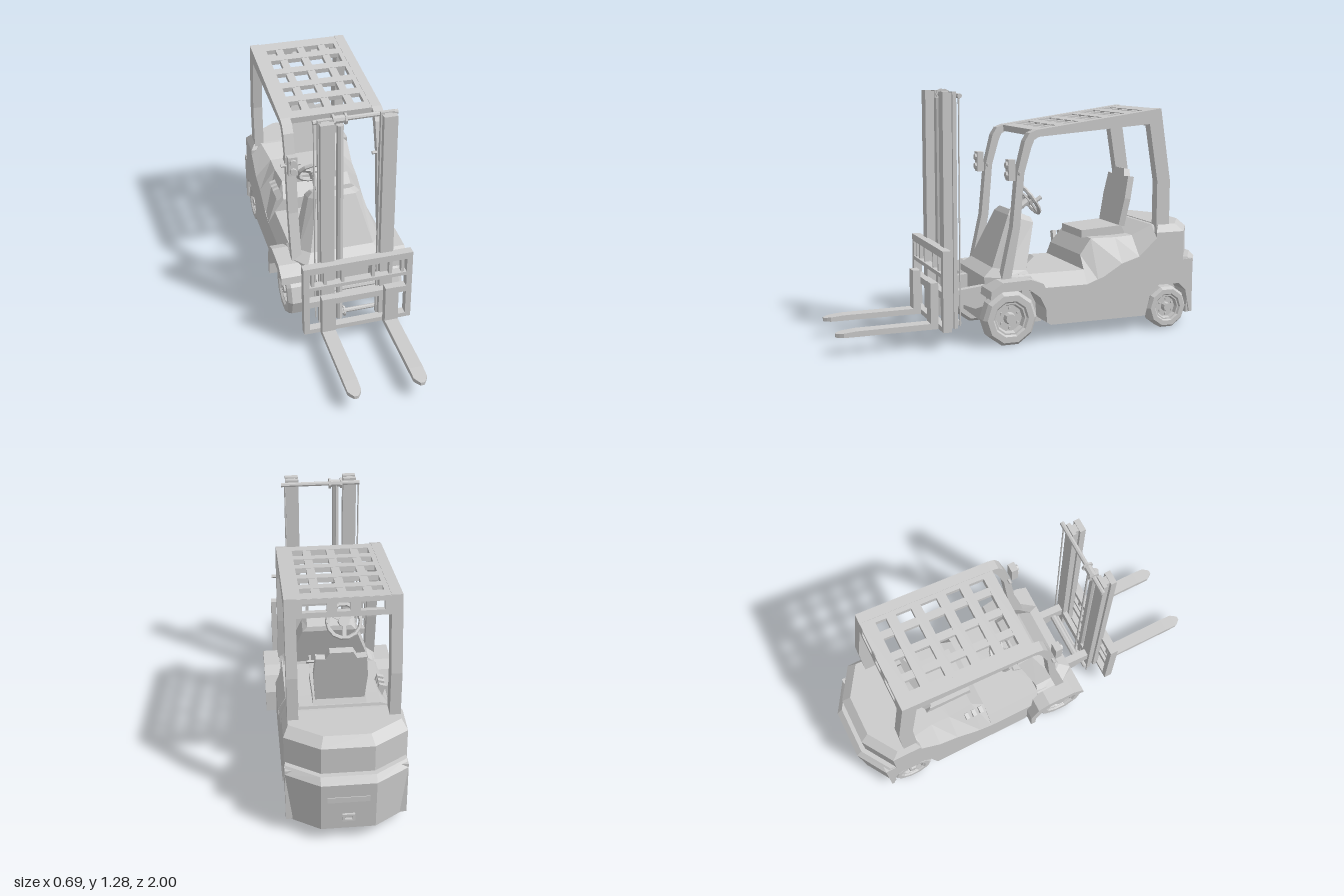
import * as THREE from 'three';

const mat = new THREE.MeshStandardMaterial({ color: 0xcccccc, flatShading: true, side: THREE.DoubleSide });

function add(parent, name, geo, x = 0, y = 0, z = 0, rx = 0, ry = 0, rz = 0) {
  const m = new THREE.Mesh(geo, mat);
  m.name = name;
  m.position.set(x, y, z);
  m.rotation.set(rx, ry, rz);
  parent.add(m);
  return m;
}

// Box given by its limits on each axis
function span(parent, name, x0, x1, y0, y1, z0, z1) {
  return add(parent, name, new THREE.BoxGeometry(x1 - x0, y1 - y0, z1 - z0), (x0 + x1) / 2, (y0 + y1) / 2, (z0 + z1) / 2);
}

// Side profile of [z, y] points extruded from x0 to x1
function sideExtrude(pts, x0, x1) {
  const shape = new THREE.Shape(pts.map(p => new THREE.Vector2(p[0], p[1])));
  const g = new THREE.ExtrudeGeometry(shape, { depth: x1 - x0, bevelEnabled: false });
  return g.rotateY(-Math.PI / 2).translate(x1, 0, 0);
}

// Skin over rings of equal point count, capped at both ends
function loft(rings) {
  const v = [], n = rings[0].length;
  const tri = (...p) => p.forEach(q => v.push(...q));
  for (let i = 0; i < rings.length - 1; i++) {
    for (let j = 0; j < n; j++) {
      const k = (j + 1) % n, a = rings[i], b = rings[i + 1];
      tri(a[j], a[k], b[k]);
      tri(a[j], b[k], b[j]);
    }
  }
  const first = rings[0], last = rings[rings.length - 1];
  for (let j = 1; j < n - 1; j++) {
    tri(first[0], first[j + 1], first[j]);
    tri(last[0], last[j], last[j + 1]);
  }
  const g = new THREE.BufferGeometry();
  g.setAttribute('position', new THREE.Float32BufferAttribute(v, 3));
  g.computeVertexNormals();
  return g;
}

function wheel(parent, name, s, x, y, z, r, w) {
  const h = w / 2;
  const profile = [[0, -h * 0.6], [r * 0.6, -h * 0.6], [r * 0.64, -h], [r * 0.88, -h], [r, -h * 0.6], [r, h * 0.6], [r * 0.88, h],
    [r * 0.66, h], [r * 0.6, h * 0.8], [r * 0.54, h * 0.8], [r * 0.48, h * 0.35], [r * 0.22, h * 0.35], [r * 0.18, h * 0.95], [0, h * 0.95]];
  const g = new THREE.Group();
  g.name = name;
  g.position.set(s * x, y, z);
  g.rotation.z = -s * Math.PI / 2;
  parent.add(g);
  add(g, 'tyreAndRim', new THREE.LatheGeometry(profile.map(p => new THREE.Vector2(...p)), 10));
  for (let i = 0; i < 6; i++) {
    const a = i * Math.PI / 3;
    add(g, 'wheelNut', new THREE.CylinderGeometry(r * 0.05, r * 0.05, h * 0.3, 6), Math.cos(a) * r * 0.35, h * 0.45, Math.sin(a) * r * 0.35);
  }
}

function buildBody(g) {
  // Lower hull with rear wheel arches
  const hull = [[-0.04, 0.115], [-0.04, 0.285], [-0.28, 0.285], [-0.5, 0.36], [-0.9, 0.38], [-0.9, 0.09],
    [-0.885, 0.09], [-0.86, 0.21], [-0.82, 0.25], [-0.7, 0.25], [-0.65, 0.21], [-0.62, 0.09], [-0.08, 0.09]];
  add(g, 'lowerHull', sideExtrude(hull, -0.29, 0.29));
  span(g, 'rearAxleCore', -0.17, 0.17, 0.09, 0.3, -0.9, -0.6);
  span(g, 'frontChassis', -0.2, 0.2, 0.09, 0.34, -0.06, 0.23);
  // Deck and engine hood: [z, shoulder y, top half width, top y]
  const stations = [[-0.74, 0.53, 0.25, 0.57], [-0.68, 0.5, 0.23, 0.565], [-0.58, 0.41, 0.2, 0.51], [-0.48, 0.38, 0.2, 0.505],
    [-0.345, 0.3, 0.19, 0.505], [-0.28, 0.285, 0.2, 0.425], [-0.278, 0.285, 0.25, 0.355], [0.08, 0.285, 0.25, 0.355]];
  add(g, 'deckAndHood', loft(stations.map(([z, s, w, t]) =>
    [[0.29, 0.27, z], [0.29, s, z], [w, t, z], [-w, t, z], [-0.29, s, z], [-0.29, 0.27, z]])));
  // Counterweight in two stacked bands: [y, half width, front z, corner z, rear z, rear half width]
  const plan = ([y, w, zf, zc, zr, wr]) =>
    [[w, y, zf], [w, y, zc], [wr, y, zr], [-wr, y, zr], [-w, y, zc], [-w, y, zf]];
  add(g, 'lowerCounterweight', loft([[0.085, 0.28, -0.87, -0.885, -0.98, 0.13], [0.36, 0.29, -0.87, -0.9, -1, 0.13],
    [0.39, 0.285, -0.8, -0.87, -0.97, 0.13]].map(plan)));
  add(g, 'upperCounterweight', loft([[0.3, 0.29, -0.7, -0.84, -0.945, 0.125], [0.53, 0.29, -0.68, -0.84, -0.945, 0.125],
    [0.57, 0.265, -0.7, -0.8, -0.9, 0.11]].map(plan)));
  span(g, 'rearGrip', -0.1, 0.1, 0.255, 0.285, -0.998, -0.97);
  const hitch = new THREE.Shape([[-0.03, -0.02], [0.03, -0.02], [0.03, 0.02], [-0.03, 0.02]].map(p => new THREE.Vector2(...p)));
  hitch.holes.push(new THREE.Path([[-0.018, -0.01], [-0.018, 0.01], [0.018, 0.01], [0.018, -0.01]].map(p => new THREE.Vector2(...p))));
  add(g, 'towHitch', new THREE.ExtrudeGeometry(hitch, { depth: 0.02, bevelEnabled: false }), 0, 0.16, -0.998);
  // Front cowl: [y front, y back, front half width, half width, z front, z back]
  const cowl = [[0.31, 0.31, 0.21, 0.27, 0.25, 0], [0.345, 0.345, 0.2, 0.26, 0.25, 0.02], [0.385, 0.37, 0.17, 0.22, 0.195, 0.03],
    [0.64, 0.6, 0.105, 0.14, 0.085, -0.04], [0.665, 0.625, 0.08, 0.115, 0.065, -0.035]];
  add(g, 'frontCowl', loft(cowl.map(([yf, yb, a, b, zf, zb]) => {
    const zm = zf - (zf - zb) * 0.35, ym = yf - (yf - yb) * 0.35;
    return [[a, yf, zf], [b, ym, zm], [b, yb, zb], [-b, yb, zb], [-b, ym, zm], [-a, yf, zf]];
  })));
  // Front fenders
  const fender = [[-0.06, 0.12], [-0.06, 0.24], [-0.015, 0.32], [0.05, 0.345], [0.2, 0.34], [0.26, 0.3], [0.265, 0.26],
    [0.2, 0.295], [0.06, 0.295], [0, 0.25], [-0.03, 0.19], [-0.035, 0.12]];
  for (const s of [-1, 1]) {
    add(g, 'frontFender', sideExtrude(fender, s > 0 ? 0.19 : -0.345, s > 0 ? 0.345 : -0.19));
    wheel(g, 'frontWheel', s, 0.264, 0.145, 0.145, 0.143, 0.1);
    wheel(g, 'rearWheel', s, 0.235, 0.12, -0.76, 0.115, 0.09);
  }
}

function buildCab(g) {
  // Seat
  add(g, 'seatCushion', sideExtrude([[-0.32, 0.5], [-0.32, 0.54], [-0.55, 0.555], [-0.58, 0.5]], -0.13, 0.13));
  const back = new THREE.Shape([[-0.12, 0], [0.12, 0], [0.13, 0.15], [0.12, 0.27], [0.075, 0.265], [0.055, 0.305], [-0.055, 0.305],
    [-0.075, 0.265], [-0.12, 0.27], [-0.13, 0.15]].map(p => new THREE.Vector2(...p)));
  add(g, 'seatBack', new THREE.ExtrudeGeometry(back, { depth: 0.035, bevelEnabled: false }), 0, 0.545, -0.575, -0.2);
  // Steering wheel facing the seat
  const st = new THREE.Group();
  st.name = 'steeringWheel';
  st.position.set(-0.07, 0.69, -0.1);
  st.rotation.x = Math.PI + 0.585;
  g.add(st);
  add(st, 'rim', new THREE.TorusGeometry(0.088, 0.011, 6, 14));
  add(st, 'hub', new THREE.CylinderGeometry(0.03, 0.03, 0.025, 8), 0, 0, 0, Math.PI / 2);
  for (let i = 0; i < 3; i++) {
    const a = Math.PI / 2 + i * Math.PI * 2 / 3;
    add(st, 'spoke', new THREE.BoxGeometry(0.075, 0.02, 0.01), Math.cos(a) * 0.048, Math.sin(a) * 0.048, 0, 0, 0, a);
  }
  add(st, 'column', new THREE.CylinderGeometry(0.018, 0.025, 0.13, 8), 0, 0, -0.065, Math.PI / 2);
  add(st, 'spinnerKnob', new THREE.CylinderGeometry(0.012, 0.012, 0.04, 8), 0.085, 0, 0.02, Math.PI / 2);
  // Pedals and levers
  for (const x of [-0.08, 0.02, 0.1]) {
    add(g, 'pedal', new THREE.BoxGeometry(0.045, 0.01, 0.06), x, 0.4, -0.025, 0.7);
    add(g, 'pedalArm', new THREE.BoxGeometry(0.012, 0.07, 0.012), x, 0.385, 0, 0.5);
  }
  for (const z of [-0.31, -0.35, -0.39]) add(g, 'controlLever', new THREE.BoxGeometry(0.035, 0.07, 0.02), -0.225, 0.45, z, 0, 0, 0.3);

  // Overhead guard sides: pillars and roof rail in one piece
  const side = [[0.18, 0.33], [0.12, 0.6], [0.095, 0.87], [0.055, 1.03], [0.03, 1.07], [-0.01, 1.085], [-0.705, 1.18], [-0.765, 0.8],
    [-0.765, 0.55], [-0.69, 0.55], [-0.69, 0.8], [-0.64, 1.1], [-0.02, 1.05], [0.005, 1.035], [0.02, 1], [0.058, 0.87], [0.08, 0.6], [0.13, 0.33]];
  for (const s of [-1, 1]) {
    add(g, 'guardSide', sideExtrude(side, s * 0.24 - 0.026, s * 0.24 + 0.026));
    // Head lamps with side markers
    span(g, 'headLamp', s * 0.24 - 0.024, s * 0.24 + 0.024, 0.835, 0.94, 0.105, 0.14);
    for (const y of [0.863, 0.912]) add(g, 'lampLens', new THREE.CylinderGeometry(0.016, 0.019, 0.012, 8), s * 0.24, y, 0.144, Math.PI / 2);
    add(g, 'lampBracket', new THREE.CylinderGeometry(0.009, 0.009, 0.1, 6), s * 0.24, 0.87, 0.085, 0, 0, Math.PI / 2);
  }
  // Roof grid, tilted up to the rear
  const roof = new THREE.Group();
  roof.name = 'roofGrid';
  roof.position.set(0, 1.083, -0.01);
  roof.rotation.x = 0.136;
  g.add(roof);
  for (const x of [-0.118, 0, 0.118]) span(roof, 'lengthBar', x - 0.02, x + 0.02, -0.026, -0.002, -0.69, 0);
  for (const x of [-0.205, 0.205]) span(roof, 'edgeBar', x - 0.015, x + 0.015, -0.026, 0, -0.7, 0);
  for (const z of [-0.55, -0.42, -0.285, -0.16]) span(roof, 'crossBar', -0.22, 0.22, -0.025, 0, z - 0.025, z + 0.025);
  span(roof, 'frontHeader', -0.22, 0.22, -0.033, 0, -0.055, 0.005);
  span(roof, 'rearTopBar', -0.22, 0.22, -0.025, 0, -0.7, -0.63);
  // Rear header with three openings
  const panel = new THREE.Shape([[-0.22, 0], [0.22, 0], [0.22, 0.09], [-0.22, 0.09]].map(p => new THREE.Vector2(...p)));
  for (const [x, w] of [[-0.13, 0.055], [0, 0.03], [0.13, 0.055]]) {
    panel.holes.push(new THREE.Path([[x - w, 0.025], [x - w, 0.068], [x + w, 0.068], [x + w, 0.025]].map(p => new THREE.Vector2(...p))));
  }
  add(g, 'rearHeader', new THREE.ExtrudeGeometry(panel, { depth: 0.03, bevelEnabled: false }), 0, 1.088, -0.719, 0.15);
}

function buildMast(g) {
  const tube = (name, r, len, x, y, z, along) =>
    add(g, name, new THREE.CylinderGeometry(r, r, len, 8), x, y, z, 0, 0, along === 'x' ? Math.PI / 2 : 0);
  for (const s of [-1, 1]) {
    const x = s * 0.153 + 0.003;
    // Channel-shaped uprights
    span(g, 'mastUpright', x - 0.034, x + 0.034, 0.09, 1.275, 0.425, 0.455);
    span(g, 'mastUprightRear', x - 0.034, x + 0.034, 0.09, 1.275, 0.385, 0.405);
    span(g, 'mastUprightWeb', x - 0.02, x + 0.02, 0.09, 1.27, 0.4, 0.43);
    tube('liftHose', 0.004, 1.15, s * 0.195, 0.68, 0.375, 'y');
    add(g, 'tiltBracket', sideExtrude([[0.2, 0.2], [0.29, 0.18], [0.36, 0.21], [0.39, 0.21], [0.39, 0.28], [0.3, 0.29], [0.2, 0.3]], x - 0.02, x + 0.02));
  }
  tube('topShaft', 0.012, 0.415, 0.007, 1.255, 0.375, 'x');
  tube('bottomShaft', 0.012, 0.36, 0, 0.115, 0.375, 'x');
  tube('pivotShaft', 0.018, 0.34, 0, 0.235, 0.33, 'x');
  tube('liftCylinder', 0.018, 1.14, -0.075, 0.67, 0.4, 'y');
  tube('liftChain', 0.005, 1.14, -0.075, 0.68, 0.362, 'y');
  for (const y of [1.255, 0.115]) {
    tube('chainRoller', 0.02, 0.06, -0.072, y, 0.375, 'x');
    for (const x of [-0.102, -0.042]) tube('rollerFlange', 0.029, 0.01, x, y, 0.375, 'x');
  }
  span(g, 'mastBrace', -0.15, 0.15, 0.2, 0.26, 0.385, 0.41);

  // Fork carriage
  for (const [y0, y1] of [[0.47, 0.507], [0.37, 0.39], [0.265, 0.3], [0.1, 0.125]]) span(g, 'carriageBar', -0.285, 0.285, y0, y1, 0.447, 0.49);
  for (const s of [-1, 1]) {
    span(g, 'carriageSide', s * 0.27 - 0.015, s * 0.27 + 0.015, 0.1, 0.507, 0.447, 0.49);
    for (const x of [0.08, 0.17, 0.235]) span(g, 'carriageSlat', s * x - 0.008, s * x + 0.008, 0.38, 0.48, 0.455, 0.482);
    // Forks with pointed tips
    const x = s * 0.166;
    span(g, 'forkShank', x - 0.035, x + 0.035, 0.1, 0.335, 0.49, 0.53);
    const ring = (z, w, t) => [[x + w, 0.1, z], [x + w, t, z], [x - w, t, z], [x - w, 0.1, z]];
    add(g, 'forkBlade', loft([ring(0.49, 0.035, 0.13), ring(0.9, 0.035, 0.128), ring(0.965, 0.034, 0.122), ring(0.985, 0.022, 0.12), ring(1, 0.01, 0.118)]));
  }
}

export function createModel() {
  const model = new THREE.Group();
  model.name = 'forklift';
  for (const [name, build] of [['body', buildBody], ['cab', buildCab], ['mast', buildMast]]) {
    const g = new THREE.Group();
    g.name = name;
    build(g);
    model.add(g);
  }
  return model;
}
